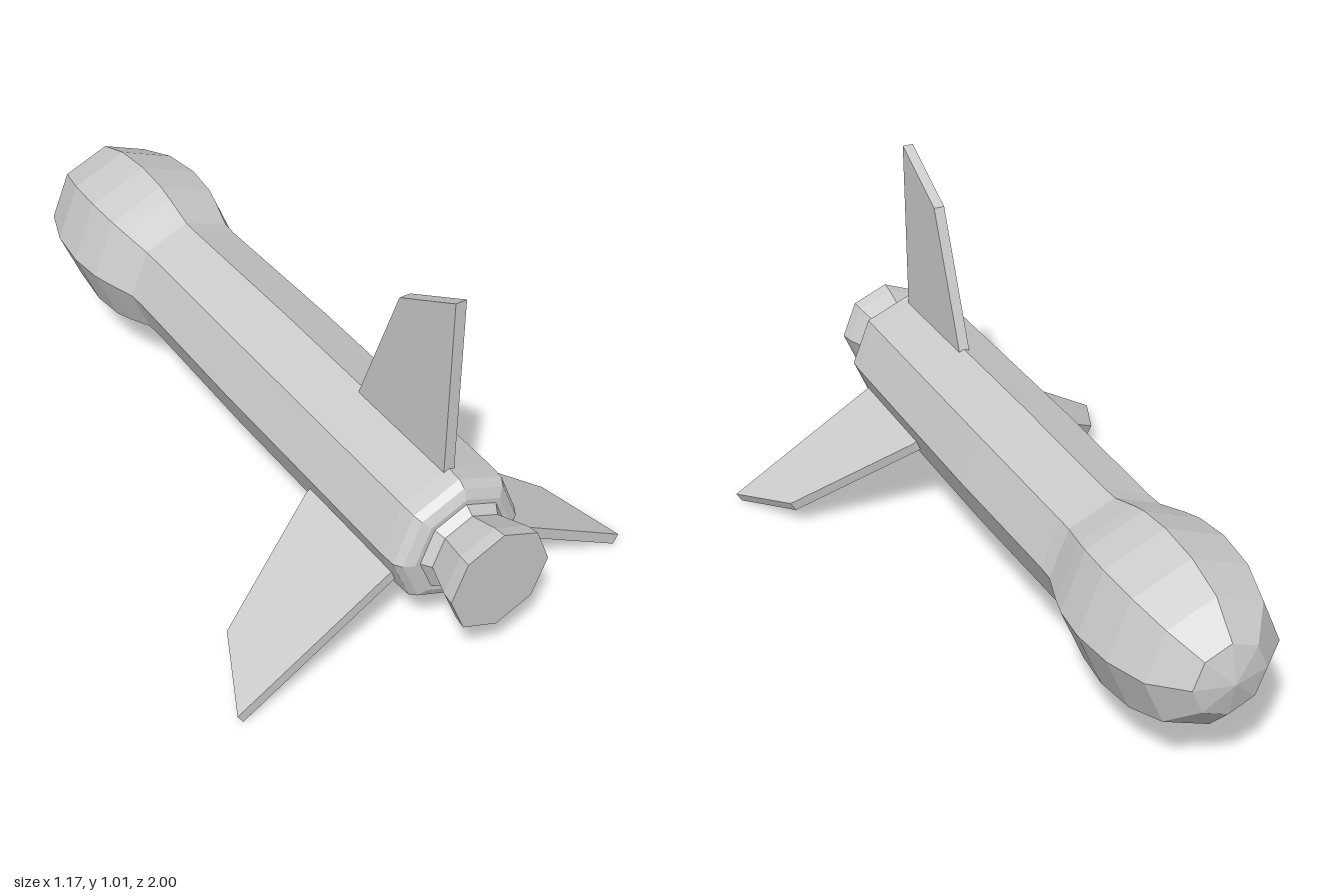
import * as THREE from 'three';

const AXIS_Y = 0.346;

function createMaterial() {
  return new THREE.MeshStandardMaterial({ color: 0xcccccc, flatShading: true });
}

// Eight-sided solid of revolution along z, from [radius, z] points
function turned(name, profile, material) {
  const points = profile.map(([r, z]) => new THREE.Vector2(r, z));
  const geometry = new THREE.LatheGeometry(points, 8).rotateX(Math.PI / 2);
  const mesh = new THREE.Mesh(geometry, material);
  mesh.name = name;
  return mesh;
}

export function createModel() {
  const model = new THREE.Group();
  model.name = 'rocket';
  const material = createMaterial();

  const rocket = new THREE.Group();
  rocket.name = 'rocketAssembly';
  rocket.position.y = AXIS_Y;
  model.add(rocket);

  // Bulbous nose flowing into the long tube and the stepped tail
  rocket.add(turned('body', [
    [0, -1], [0.1, -0.975], [0.182, -0.9], [0.219, -0.79], [0.231, -0.67],
    [0.222, -0.57], [0.209, -0.52], [0.18, -0.43], [0.178, -0.38],
    [0.185, 0.07], [0.183, 0.78], [0.18, 0.825], [0.166, 0.845], [0.14, 0.858], [0, 0.858],
  ], material));

  // Flared nozzle with a flat closed end
  rocket.add(turned('nozzle', [
    [0, 0.85], [0.128, 0.855], [0.108, 0.882], [0.136, 0.965], [0.141, 1], [0, 1],
  ], material));

  // Three swept fins; outline is (z, distance from axis)
  const outline = new THREE.Shape([
    [0.785, 0.14], [0.785, 0.666], [0.58, 0.556], [0.435, 0.182], [0.435, 0.14],
  ].map(([z, r]) => new THREE.Vector2(z, r)));
  const thickness = 0.03;
  const finGeometry = new THREE.ExtrudeGeometry(outline, { depth: thickness, bevelEnabled: false })
    .translate(0, 0, -thickness / 2)
    .rotateY(-Math.PI / 2);
  ['topFin', 'rightFin', 'leftFin'].forEach((name, i) => {
    const fin = new THREE.Mesh(finGeometry, material);
    fin.name = name;
    fin.rotation.z = i * Math.PI * 2 / 3;
    rocket.add(fin);
  });

  return model;
}
